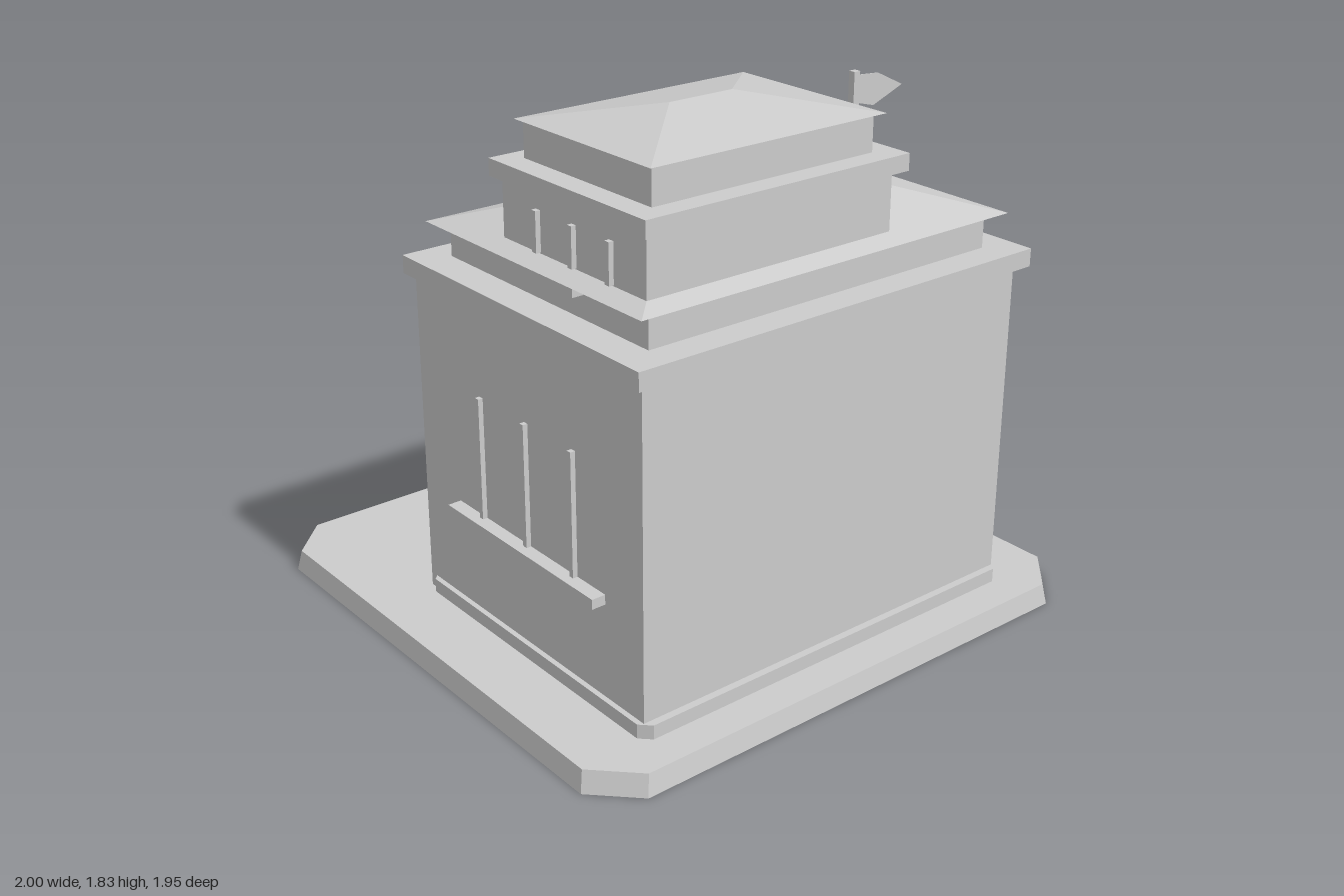
import * as THREE from 'three';

export function createModel() {
  const root = new THREE.Group();
  root.name = 'libraryBuilding';
  const stone = new THREE.MeshStandardMaterial({ color: 0xcccccc });
  stone.name = 'paleGreyStone';

  const add = (name, geometry, parent = root) => {
    const m = new THREE.Mesh(geometry, stone);
    m.name = name;
    parent.add(m);
    return m;
  };

  // Box given by its limits
  const box = (name, x0, x1, y0, y1, z0, z1, parent = root) => {
    const m = add(name, new THREE.BoxGeometry(x1 - x0, y1 - y0, z1 - z0), parent);
    m.position.set((x0 + x1) / 2, (y0 + y1) / 2, (z0 + z1) / 2);
    return m;
  };

  // Hip roof: a box whose top rectangle shrinks to a ridge or small deck; rect = [x0, x1, z0, z1]
  const hipRoof = (name, y0, y1, eave, top) => {
    const g = new THREE.BoxGeometry(1, 1, 1).toNonIndexed();
    const p = g.attributes.position;
    for (let i = 0; i < p.count; i++) {
      const r = p.getY(i) > 0 ? top : eave;
      p.setXYZ(i, p.getX(i) > 0 ? r[1] : r[0], p.getY(i) > 0 ? y1 : y0, p.getZ(i) > 0 ? r[3] : r[2]);
    }
    g.computeVertexNormals();
    return add(name, g);
  };

  // Closed plan outline from its +x half, listed from back to front as [x, z]
  const mirrored = (half) => {
    const left = half.map(([x, z]) => new THREE.Vector2(-x, -z));
    const right = half.map(([x, z]) => new THREE.Vector2(x, -z)).reverse();
    return [...left, ...right];
  };
  const cutCorners = (hx, z0, z1, c) => [[hx - c, z0], [hx, z0 + c], [hx, z1 - c], [hx - c, z1]];

  // Upright prism over a plan outline, shrinking towards its top by the factor `topScale`
  const prism = (name, half, y0, y1, holes = [], topScale = 1) => {
    const shape = new THREE.Shape(mirrored(half));
    for (const h of holes) shape.holes.push(new THREE.Path(mirrored(h)));
    const g = new THREE.ExtrudeGeometry(shape, { depth: y1 - y0, bevelEnabled: false });
    const p = g.attributes.position;
    for (let i = 0; i < p.count; i++) {
      if (p.getZ(i) > 1e-6) p.setXY(i, p.getX(i) * topScale, p.getY(i) * topScale);
    }
    g.computeVertexNormals();
    g.rotateX(-Math.PI / 2);
    add(name, g).position.y = y0;
  };

  // Ground slab, with grooves under the plinths and a recess under the porch
  const grooveOutline = [[0.32, -0.64], [0.355, -0.605], [0.355, -0.32], [0.73, -0.32],
    [0.765, -0.285], [0.765, 0.8], [0.73, 0.835]];
  const porchRecess = [[0.245, -0.75], [0.245, -0.66]];
  prism('groundSlab', cutCorners(1, -0.975, 0.975, 0.138), 0, 0.072, [grooveOutline, porchRecess], 0.986);
  prism('groundUnderMain', [[0.32, -0.2], [0.355, -0.235], [0.355, -0.28], [0.695, -0.28],
    [0.725, -0.25], [0.725, 0.765], [0.695, 0.795]], 0, 0.07);
  prism('groundUnderEntrance', [[0.32, -0.28], [0.32, -0.235]], 0, 0.07);
  prism('groundUnderAnnex', [[0.29, -0.605], [0.32, -0.575], [0.32, -0.32]], 0, 0.07);

  // Main block
  prism('mainPlinth', cutCorners(0.77, -0.325, 0.84, 0.035), 0.068, 0.12);
  box('mainBlock', -0.752, 0.752, 0.07, 1.2, -0.295, 0.815);
  for (const s of [-1, 1]) {
    box('cornerPost', s * 0.727 - 0.025, s * 0.727 + 0.025, 0.07, 1.2, -0.34, -0.29);
  }
  box('mainCornice', -0.79, 0.79, 1.2, 1.26, -0.35, 0.85);
  box('attic', -0.675, 0.675, 1.26, 1.378, -0.245, 0.747);
  hipRoof('mainRoof', 1.375, 1.515, [-0.735, 0.735, -0.293, 0.793], [-0.28, 0.28, 0.148, 0.362]);
  box('atticSill', -0.715, -0.67, 1.335, 1.37, 0.05, 0.45);

  // Side windows: slim uprights above a long sill
  const sideWindow = (s, sillY, top, z0, z1, spacing) => {
    const lo = s > 0 ? 0.745 : -0.8, hi = s > 0 ? 0.8 : -0.745;
    box('sideSill', lo, hi, sillY, sillY + 0.033, z0, z1);
    for (const k of [-1, 0, 1]) {
      const z = 0.25 + k * spacing;
      box('sideMullion', s * 0.758 - 0.011, s * 0.758 + 0.011, sillY + 0.033, top, z - 0.009, z + 0.009);
    }
  };
  sideWindow(1, 0.402, 0.92, -0.2, 0.7, 0.29);
  sideWindow(-1, 0.438, 0.885, -0.135, 0.635, 0.24);

  // Tower
  box('towerBlock', -0.665, 0.27, 1.385, 1.59, 0.04, 0.727);
  box('towerCornice', -0.698, 0.302, 1.59, 1.645, 0.02, 0.765);
  box('towerAttic', -0.617, 0.22, 1.645, 1.768, 0.087, 0.69);
  hipRoof('towerRoof', 1.765, 1.826, [-0.64, 0.25, 0.072, 0.715], [-0.315, -0.075, 0.392, 0.394]);
  for (const z of [0.22, 0.395, 0.57]) {
    for (const x of [-0.67, 0.275]) {
      box('towerMullion', x - 0.012, x + 0.012, 1.4, 1.53, z - 0.01, z + 0.01);
    }
  }
  for (let i = 0; i < 5; i++) {
    const x = -0.198 + (i - 2) * 0.17;
    box('towerMullion', x - 0.01, x + 0.01, 1.4, 1.53, 0.025, 0.045);
  }

  // Flag
  box('flagPole', 0.505, 0.53, 1.43, 1.772, 0.293, 0.318);
  const cloth = new THREE.Shape([[0.53, 1.665], [0.607, 1.645], [0.735, 1.695], [0.623, 1.75], [0.53, 1.757]]
    .map(([x, y]) => new THREE.Vector2(x, y)));
  add('flag', new THREE.ExtrudeGeometry(cloth, { depth: 0.003, bevelEnabled: false })).position.z = 0.304;

  // Entrance facade windows on both sides of the annex
  for (const s of [-1, 1]) {
    const c = s * 0.55;
    box('facadeSill', c - 0.165, c + 0.165, 0.265, 0.308, s > 0 ? -0.39 : -0.375, -0.29);
    for (let i = 0; i < 4; i++) {
      const x = s * (0.43 + i * 0.08);
      box('facadeMullion', x - 0.01, x + 0.01, 0.308, 0.67, -0.315, -0.29);
    }
  }
  // Potted plants on one sill
  for (const x of [0.445, 0.54, 0.63]) {
    add('pot', new THREE.CylinderGeometry(0.016, 0.011, 0.035, 8)).position.set(x, 0.325, -0.368);
    add('plant', new THREE.CylinderGeometry(0.019, 0.005, 0.04, 6)).position.set(x, 0.362, -0.368);
  }

  // Annex
  prism('annexPlinth', cutCorners(0.36, -0.645, -0.19, 0.035), 0.067, 0.12);
  box('annexBlock', -0.34, 0.34, 0.07, 0.655, -0.622, -0.29);
  box('annexCornice', -0.388, 0.388, 0.655, 0.71, -0.668, -0.29);

  // Porch and door frame
  box('porchFloor', -0.28, 0.28, 0.07, 0.097, -0.87, -0.62);
  hipRoof('porchRoof', 0.563, 0.66, [-0.312, 0.312, -0.865, -0.585], [-0.15, 0.15, -0.723, -0.721]);
  for (const s of [-1, 1]) {
    box('porchColumn', s * 0.24 - 0.023, s * 0.24 + 0.023, 0.09, 0.565, -0.837, -0.79);
    box('doorJamb', s * 0.13 - 0.018, s * 0.13 + 0.018, 0.09, 0.475, -0.65, -0.61);
  }
  box('doorLintel', -0.17, 0.17, 0.472, 0.508, -0.665, -0.61);

  // Stand and open book sculpture on the annex roof
  const wedge = new THREE.Shape([[0.29, 0.7], [0.55, 0.7], [0.29, 0.8]]
    .map(([x, y]) => new THREE.Vector2(x, y)));
  const standGeometry = new THREE.ExtrudeGeometry(wedge, { depth: 0.52, bevelEnabled: false });
  standGeometry.rotateY(Math.PI / 2);
  add('bookStand', standGeometry).position.x = -0.26;
  box('bookSupport', -0.17, 0.17, 0.7, 0.8, -0.475, -0.29);

  const book = new THREE.Group();
  book.name = 'openBook';
  book.position.set(0, 0.775, -0.452);
  book.rotation.x = -0.41;
  root.add(book);
  box('bookSpine', -0.018, 0.018, -0.016, 0.014, -0.148, 0.19, book);
  for (const s of [-1, 1]) {
    const half = new THREE.Group();
    half.name = 'bookHalf';
    half.rotation.z = s * 0.25;
    book.add(half);
    const c = s * 0.17;
    box('cover', c - 0.16, c + 0.16, -0.016, 0, -0.152, 0.19, half);
    box('pages', c - 0.147, c + 0.147, 0, 0.042, -0.148, 0.185, half);
    for (let row = 0; row < 3; row++) {
      for (let i = 0; i < 6; i++) {
        const x = c + (i - 2.5) * 0.032, z = (row - 0.75) * 0.08;
        box('pageDash', x - 0.008, x + 0.008, 0.04, 0.045, z - 0.003, z + 0.003, half);
      }
    }
  }
  return root;
}
